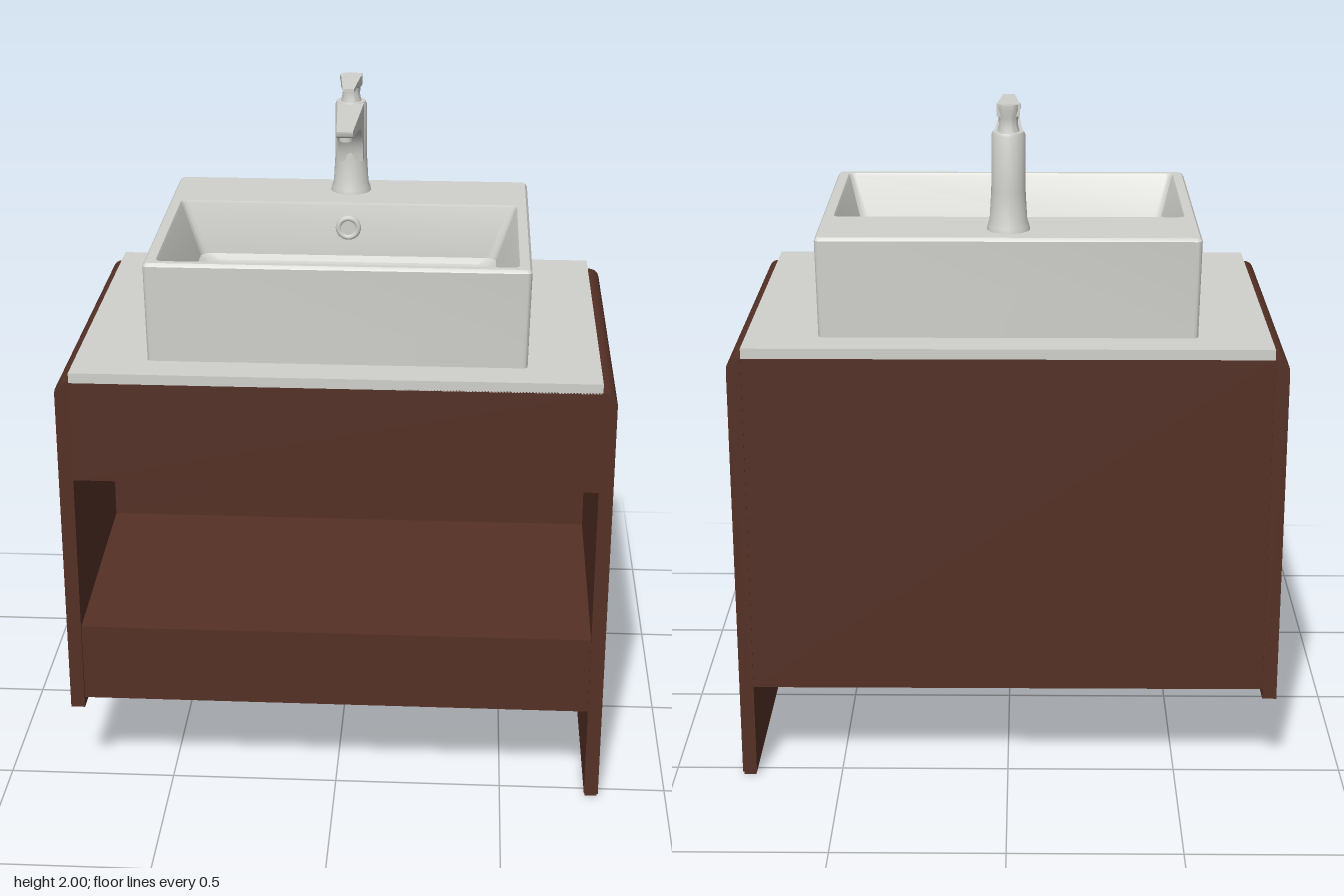
import * as THREE from 'three';
import { toCreasedNormals } from 'three/addons/utils/BufferGeometryUtils.js';

const wood = new THREE.MeshStandardMaterial({ color: 0x543025 });
wood.name = 'dark wood';
const ceramic = new THREE.MeshStandardMaterial({ color: 0xd0d0cc });
ceramic.name = 'pale ceramic';

function add(parent, name, geometry, material, x = 0, y = 0, z = 0) {
  const mesh = new THREE.Mesh(geometry, material);
  mesh.name = name;
  mesh.position.set(x, y, z);
  parent.add(mesh);
  return mesh;
}

// Skin through rounded rectangles, each given as [y, x half, z min, z max, corner radius]
function loft(sections, corner = 6) {
  const pos = [], index = [], n = 4 * (corner + 1);
  for (const [y, hx, z0, z1, r] of sections) {
    const cz = (z0 + z1) / 2, hz = (z1 - z0) / 2;
    for (let q = 0; q < 4; q++) {
      const sx = q === 0 || q === 3 ? 1 : -1, sz = q < 2 ? 1 : -1;
      for (let k = 0; k <= corner; k++) {
        const a = (q + k / corner) * Math.PI / 2;
        pos.push(sx * (hx - r) + r * Math.cos(a), y, cz + sz * (hz - r) + r * Math.sin(a));
      }
    }
  }
  for (let i = 0; i < sections.length - 1; i++) {
    for (let j = 0; j < n; j++) {
      const a = i * n + j, b = i * n + (j + 1) % n;
      index.push(a, a + n, b + n, a, b + n, b);
    }
  }
  const g = new THREE.BufferGeometry();
  g.setAttribute('position', new THREE.Float32BufferAttribute(pos, 3));
  g.setIndex(index);
  return toCreasedNormals(g.toNonIndexed(), 0.6);
}

// Side outline in (z, y) spread across x, with a half width that may vary along z
function sideExtrude(shape, halfWidth) {
  const g = new THREE.ExtrudeGeometry(shape, { depth: 2, bevelEnabled: false, curveSegments: 10 });
  g.translate(0, 0, -1);
  g.rotateY(-Math.PI / 2);
  const p = g.attributes.position;
  for (let i = 0; i < p.count; i++) p.setX(i, p.getX(i) * halfWidth(p.getZ(i)));
  return toCreasedNormals(g, 0.6);
}

const outline = (points) => new THREE.Shape(points.map(([a, b]) => new THREE.Vector2(a, b)));

// Upright panel with a rounded outer top edge
function sidePanel(side, bottom) {
  const s = new THREE.Shape();
  const inner = 0.755, outer = 0.797, top = 1.315, r = 0.04;
  s.moveTo(side * inner, bottom);
  s.lineTo(side * outer, bottom);
  s.lineTo(side * outer, top - r);
  s.quadraticCurveTo(side * outer, top, side * (outer - r), top);
  s.lineTo(side * inner, top);
  s.closePath();
  const g = new THREE.ExtrudeGeometry(s, { depth: 1.09, bevelEnabled: false, curveSegments: 8 });
  g.translate(0, 0, -0.545);
  return toCreasedNormals(g, 0.6);
}

export function createModel() {
  const model = new THREE.Group();
  model.name = 'washstand';

  // Cabinet: drawer front, open niche and lower box in one side outline
  const cabinet = new THREE.Group();
  cabinet.name = 'cabinet';
  model.add(cabinet);
  const carcass = outline([
    [-0.543, 0.29], [0.538, 0.29], [0.538, 0.53], [-0.15, 0.58],
    [-0.15, 0.95], [0.545, 1.01], [0.545, 1.315], [-0.543, 1.315],
  ]);
  add(cabinet, 'carcass', sideExtrude(carcass, () => 0.756), wood);
  add(cabinet, 'leftPanel', sidePanel(1, 0.01), wood);
  add(cabinet, 'rightPanel', sidePanel(-1, 0.26), wood);
  for (const z of [-0.52, 0.52]) {
    add(cabinet, 'foot', new THREE.BoxGeometry(0.036, 0.012, 0.04), wood, 0.776, 0.006, z);
  }
  // Plumbing bulge under the drawer
  const bulge = add(cabinet, 'plumbingBulge', new THREE.SphereGeometry(1, 20, 12), wood, -0.09, 0.985, 0.05);
  bulge.scale.set(0.19, 0.04, 0.12);

  // Countertop
  add(model, 'countertop', new THREE.BoxGeometry(1.51, 0.03, 1.09), ceramic, 0, 1.327, 0);

  // Basin: outside wall, rim, sloping bowl and floor
  const basin = new THREE.Group();
  basin.name = 'basin';
  model.add(basin);
  add(basin, 'bowl', loft([
    [1.34, 0.545, -0.433, 0.433, 0.015],
    [1.626, 0.55, -0.436, 0.436, 0.015],
    [1.636, 0.543, -0.429, 0.429, 0.012],
    [1.636, 0.515, -0.18, 0.41, 0.02],
    [1.628, 0.51, -0.178, 0.405, 0.02],
    [1.47, 0.455, -0.168, 0.25, 0.03],
    [1.455, 0.43, -0.15, 0.22, 0.03],
    [1.45, 0, 0, 0, 0],
  ]), ceramic);
  add(basin, 'overflowRing', new THREE.TorusGeometry(0.03, 0.009, 10, 28), ceramic, 0, 1.56, -0.168);
  const cap = new THREE.CylinderGeometry(0.026, 0.026, 0.016, 24).rotateX(Math.PI / 2);
  add(basin, 'overflowCap', cap, ceramic, 0, 1.56, -0.172);

  // Tap
  const tap = new THREE.Group();
  tap.name = 'tap';
  model.add(tap);
  const ring = (y, r) => [y, r, -0.325 - r, -0.325 + r, r];
  add(tap, 'tapBody', loft([
    ring(1.635, 0.062), ring(1.648, 0.06), ring(1.665, 0.054), ring(1.75, 0.049),
    ring(1.91, 0.048), ring(1.92, 0.044), ring(1.92, 0),
  ]), ceramic);

  const spout = new THREE.Shape();
  spout.moveTo(-0.325, 1.74);
  spout.lineTo(-0.279, 1.74);
  spout.quadraticCurveTo(-0.275, 1.86, -0.14, 1.875);
  spout.lineTo(0.02, 1.895);
  spout.quadraticCurveTo(0.03, 1.898, 0.03, 1.915);
  spout.lineTo(-0.325, 1.918);
  spout.closePath();
  add(tap, 'spout', sideExtrude(spout, (z) => 0.024 + 0.05 * Math.min(0.36, 0.03 - z)), ceramic);
  add(tap, 'spoutOutlet', new THREE.CylinderGeometry(0.02, 0.02, 0.025, 20), ceramic, 0, 1.884, -0.035);

  // Lever on a short flared neck
  add(tap, 'leverNeck', loft([
    ring(1.918, 0.032), ring(1.94, 0.027), ring(1.96, 0.028), ring(1.985, 0.034),
    ring(1.999, 0.034), ring(1.999, 0),
  ]), ceramic);
  const lever = outline([[-0.345, 1.965], [-0.28, 1.97], [-0.245, 1.983], [-0.163, 1.986], [-0.163, 1.995], [-0.345, 2]]);
  add(tap, 'lever', sideExtrude(lever, (z) => 0.017 + 0.09 * (-0.163 - z)), ceramic);

  return model;
}
